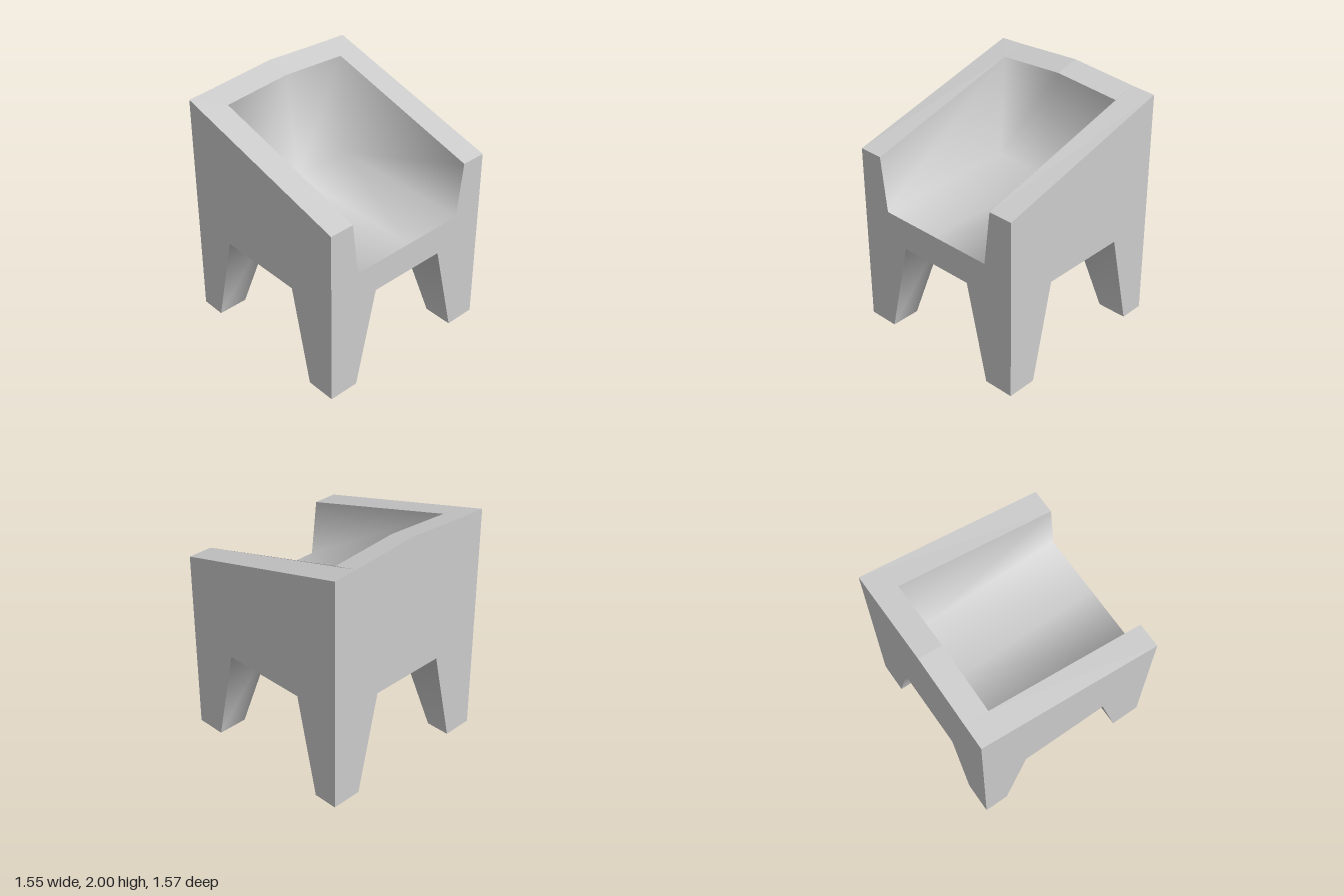
import * as THREE from 'three';
import { mergeVertices } from 'three/addons/utils/BufferGeometryUtils.js';

const material = new THREE.MeshStandardMaterial({ color: 0xcccccc });

const X = 0.775, FRONT = 0.785, REAR = -0.78; // outer faces
const CEIL = 0.825, SEAT = 1.08;              // underside and seat heights
const LEG_TOP = 0.33, LEG_FOOT = 0.52;        // inner x of the legs
const ARM = 0.57, SEAT_X = 0.515;             // inner x of the arms, half seat width
const BACK_TOP = -0.58, BACK_LOW = -0.45;     // z of the backrest surface

// Mirror faces across x, keeping their outward side
const mirrored = faces => [
  ...faces,
  ...faces.map(f => f.map(([x, y, z]) => [-x, y, z]).reverse()),
];

// Mesh from convex polygons (corners counter-clockwise), creased or smooth
function surface(name, faces, smooth) {
  const pos = [];
  for (const f of faces)
    for (let i = 1; i < f.length - 1; i++) pos.push(...f[0], ...f[i], ...f[i + 1]);
  let geo = new THREE.BufferGeometry();
  geo.setAttribute('position', new THREE.Float32BufferAttribute(pos, 3));
  if (smooth) geo = mergeVertices(geo);
  geo.computeVertexNormals();
  const mesh = new THREE.Mesh(geo, material);
  mesh.name = name;
  return mesh;
}

// Flat outline panel turned about y and moved to its place
function panel(name, points, turn, x, z) {
  const shape = new THREE.Shape(points.map(p => new THREE.Vector2(...p)));
  const geo = new THREE.ShapeGeometry(shape).rotateY(turn).translate(x, 0, z);
  const mesh = new THREE.Mesh(geo, material);
  mesh.name = name;
  return mesh;
}

// Downward-facing rectangle
const down = (x0, x1, z0, z1, y) => [[x0, y, z0], [x1, y, z0], [x1, y, z1], [x0, y, z1]];

export function createModel() {
  const chair = new THREE.Group();
  chair.name = 'chair';

  // Outer panels with the cut-outs between the legs
  const legGap = [[-X, 0], [-LEG_FOOT, 0], [-LEG_TOP, CEIL], [LEG_TOP, CEIL], [LEG_FOOT, 0], [X, 0]];
  chair.add(panel('frontPanel', [
    ...legGap, [X, 1.54], [ARM, 1.54], [SEAT_X, SEAT], [-SEAT_X, SEAT], [-ARM, 1.54], [-X, 1.54],
  ], 0, 0, FRONT));
  chair.add(panel('backPanel', [
    ...legGap, [X, 1.95], [ARM, 1.96], [0, 2], [-ARM, 1.96], [-X, 1.95],
  ], Math.PI, 0, REAR));
  const side = [[REAR, 0], [-0.575, 0], [-0.39, CEIL], [0.35, CEIL], [0.535, 0],
    [FRONT, 0], [FRONT, 1.54], [REAR, 1.95]];
  chair.add(panel('rightPanel', side, -Math.PI / 2, -X, 0));
  chair.add(panel('leftPanel', side.map(([z, y]) => [-z, y]), Math.PI / 2, X, 0));

  // Sloping arm tops and the ridged top of the backrest
  chair.add(surface('armAndBackTop', mirrored([
    [[ARM, 1.54, FRONT], [X, 1.54, FRONT], [X, 1.95, REAR], [ARM, 1.96, REAR], [ARM, 1.91, BACK_TOP]],
    [[ARM, 1.91, BACK_TOP], [ARM, 1.96, REAR], [0, 2, REAR], [0, 1.95, BACK_TOP]],
  ]), false));

  // Hollow of the seat: floor, backrest and inner arms, shaded as one soft surface
  chair.add(surface('seatHollow', mirrored([
    [[0, SEAT, FRONT], [SEAT_X, SEAT, FRONT], [SEAT_X, SEAT, BACK_LOW], [0, SEAT, BACK_LOW]],
    [[0, SEAT, BACK_LOW], [SEAT_X, SEAT, BACK_LOW], [ARM, 1.91, BACK_TOP], [0, 1.95, BACK_TOP]],
    [[SEAT_X, SEAT, BACK_LOW], [SEAT_X, SEAT, FRONT], [ARM, 1.54, FRONT], [ARM, 1.91, BACK_TOP]],
  ]), true));

  // Underside: ceiling cross and tapered inner leg faces
  const zs = [REAR, -0.39, 0.35, FRONT];
  const underside = [0, 1, 2].map(i => down(-LEG_TOP, LEG_TOP, zs[i], zs[i + 1], CEIL));
  underside.push(...mirrored([
    down(LEG_TOP, X, -0.39, 0.35, CEIL),
    [[LEG_FOOT, 0, 0.535], [LEG_FOOT, 0, FRONT], [LEG_TOP, CEIL, FRONT], [LEG_TOP, CEIL, 0.35]],
    [[LEG_FOOT, 0, REAR], [LEG_FOOT, 0, -0.575], [LEG_TOP, CEIL, -0.39], [LEG_TOP, CEIL, REAR]],
    [[X, 0, 0.535], [LEG_FOOT, 0, 0.535], [LEG_TOP, CEIL, 0.35], [X, CEIL, 0.35]],
    [[LEG_FOOT, 0, -0.575], [X, 0, -0.575], [X, CEIL, -0.39], [LEG_TOP, CEIL, -0.39]],
  ]));
  chair.add(surface('underside', underside, true));

  // Soles of the four legs
  chair.add(surface('feet', mirrored([
    down(LEG_FOOT, X, 0.535, FRONT, 0),
    down(LEG_FOOT, X, REAR, -0.575, 0),
  ]), false));

  return chair;
}
